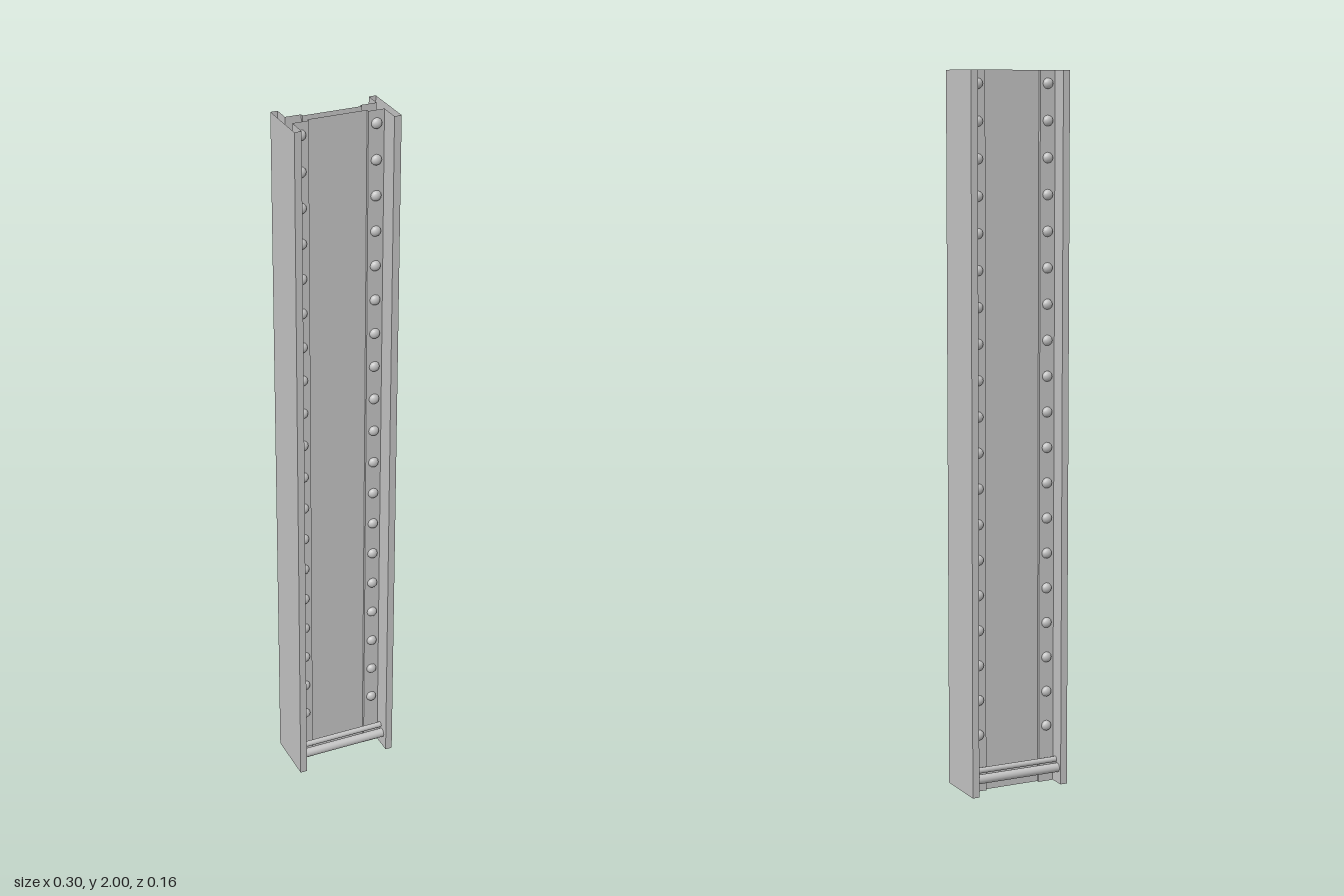
import * as THREE from 'three';

export function createModel() {
  const model = new THREE.Group();
  model.name = 'rivetedBeam';
  const steel = new THREE.MeshStandardMaterial({ color: 0xc2c2c2, side: THREE.DoubleSide });
  steel.name = 'lightSteel';

  const add = (name, geometry, x, y, z, parent = model) => {
    const mesh = new THREE.Mesh(geometry, steel);
    mesh.name = name;
    mesh.position.set(x, y, z);
    parent.add(mesh);
    return mesh;
  };

  // Beam outline in plan: half of it is listed, the other half is mirrored in x
  const half = [
    [0.083, 0.009], [0.083, 0.018], [0.128, 0.018], [0.128, 0.078], [0.148, 0.078],
    [0.148, -0.078], [0.128, -0.078], [0.128, -0.03], [0.083, -0.03], [0.083, -0.021],
  ];
  const outline = [...half, ...half.map(([x, z]) => [-x, z]).reverse()];

  // Upright walls along the outline; the section is open at top and bottom
  const positions = [];
  outline.forEach(([x0, z0], i) => {
    const [x1, z1] = outline[(i + 1) % outline.length];
    positions.push(x0, 0, z0, x0, 2, z0, x1, 2, z1, x0, 0, z0, x1, 2, z1, x1, 0, z1);
  });
  // Reverse the corner order so that the walls face outward
  const flipped = [];
  for (let i = 0; i < positions.length; i += 9) {
    flipped.push(
      ...positions.slice(i, i + 3), ...positions.slice(i + 6, i + 9), ...positions.slice(i + 3, i + 6));
  }
  const signedArea = outline.reduce((sum, [x, z], i) => {
    const [nx, nz] = outline[(i + 1) % outline.length];
    return sum + x * nz - nx * z;
  }, 0);
  const beam = new THREE.BufferGeometry();
  beam.setAttribute('position',
    new THREE.Float32BufferAttribute(signedArea > 0 ? positions : flipped, 3));
  beam.computeVertexNormals();
  add('beamWalls', beam, 0, 0, 0);

  // Domed rivets in two columns on each face
  const dome = new THREE.SphereGeometry(0.015, 12, 5, 0, Math.PI * 2, 0, Math.PI / 2);
  dome.rotateX(Math.PI / 2);
  dome.scale(1, 1, 0.85);
  for (const front of [true, false]) {
    const rivets = new THREE.Group();
    rivets.name = front ? 'frontRivets' : 'backRivets';
    model.add(rivets);
    for (const x of [-0.106, 0.106]) {
      for (let row = 0; row < 19; row++) {
        const rivet = add('rivet', dome, x, 0.164 + row * 0.1, front ? 0.018 : -0.03, rivets);
        if (!front) rivet.rotation.y = Math.PI;
      }
    }
  }

  // Two round mouldings across the foot of each face
  const bar = (name, radius, y, z) => {
    const rod = new THREE.CylinderGeometry(radius, radius, 0.264, 20, 1, true);
    rod.rotateZ(Math.PI / 2);
    add(name, rod, -0.002, y, z);
  };
  bar('frontUpperMoulding', 0.008, 0.066, 0.038);
  bar('frontLowerMoulding', 0.013, 0.045, 0.051);
  bar('backUpperMoulding', 0.008, 0.066, -0.0455);
  bar('backLowerMoulding', 0.013, 0.045, -0.058);

  return model;
}
